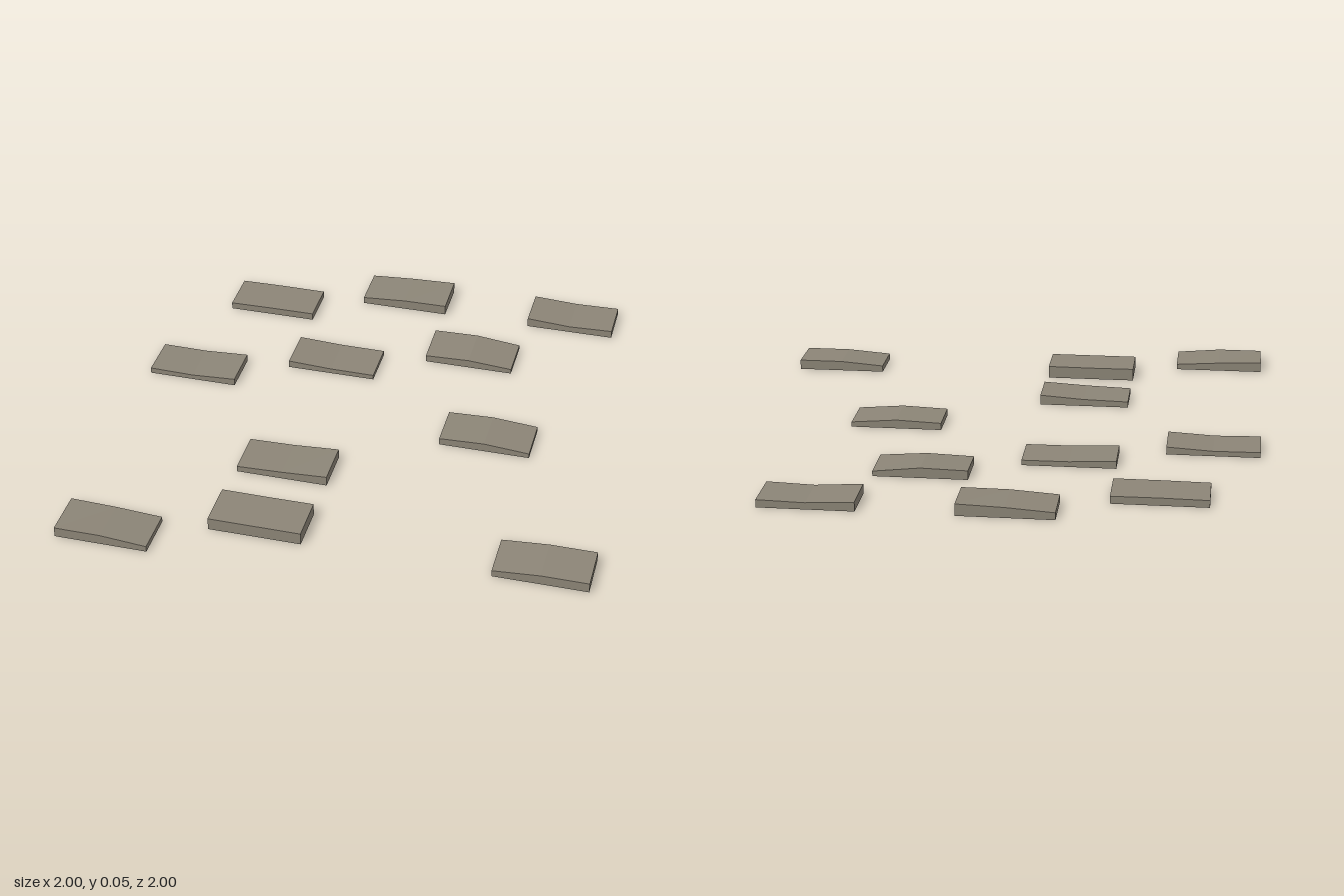
import * as THREE from 'three';

const CELL = 2 / 11;

// One slab per row: centre x and z in cells, then top heights
// from -x to +x along the back edge and along the front edge.
const SLABS = [
  [-0.5, -5, [0.028, 0.04, 0.046], [0.028, 0.04, 0.041]],
  [3.5, -5, [0.036, 0.026, 0.03], [0.038, 0.026, 0.032]],
  [-3.5, -4, [0.028, 0.03, 0.029], [0.028, 0.03, 0.03]],
  [1.5, -3, [0.036, 0.04, 0.02], [0.028, 0.034, 0.02]],
  [-1.5, -2, [0.03, 0.021, 0.02], [0.03, 0.021, 0.02]],
  [-4.5, -1, [0.022, 0.02, 0.03], [0.024, 0.02, 0.03]],
  [2.5, 0, [0.028, 0.035, 0.02], [0.028, 0.035, 0.02]],
  [-1.5, 2, [0.024, 0.028, 0.04], [0.024, 0.03, 0.04]],
  [-1.5, 4, [0.05, 0.049, 0.05], [0.05, 0.05, 0.05]],
  [4.5, 4, [0.026, 0.04, 0.04], [0.026, 0.04, 0.04]],
  [-4.5, 5, [0.04, 0.034, 0.022], [0.04, 0.04, 0.024]],
];

// Hollow slab, open underneath, with a gently bent top
function slabGeometry(back, front) {
  const geo = new THREE.BoxGeometry(2 * CELL, 1, CELL, 2, 1, 1);
  const pos = geo.attributes.position;
  for (let i = 0; i < pos.count; i++) {
    const column = Math.round(pos.getX(i) / CELL) + 1;
    const heights = pos.getZ(i) < 0 ? back : front;
    pos.setY(i, pos.getY(i) > 0 ? heights[column] : 0);
  }
  // Drop the bottom face
  const bottom = geo.groups[3];
  const index = Array.from(geo.index.array);
  index.splice(bottom.start, bottom.count);
  geo.setIndex(index);
  geo.clearGroups();
  const flat = geo.toNonIndexed();
  flat.computeVertexNormals();
  return flat;
}

export function createModel() {
  const model = new THREE.Group();
  model.name = 'scatteredSlabs';
  const stone = new THREE.MeshStandardMaterial({
    color: 0x8c8577, flatShading: true, side: THREE.DoubleSide,
  });
  stone.name = 'stone';

  SLABS.forEach(([x, z, back, front], i) => {
    const slab = new THREE.Mesh(slabGeometry(back, front), stone);
    slab.name = `slab${i + 1}`;
    slab.position.set(x * CELL, 0, z * CELL);
    model.add(slab);
  });
  return model;
}
